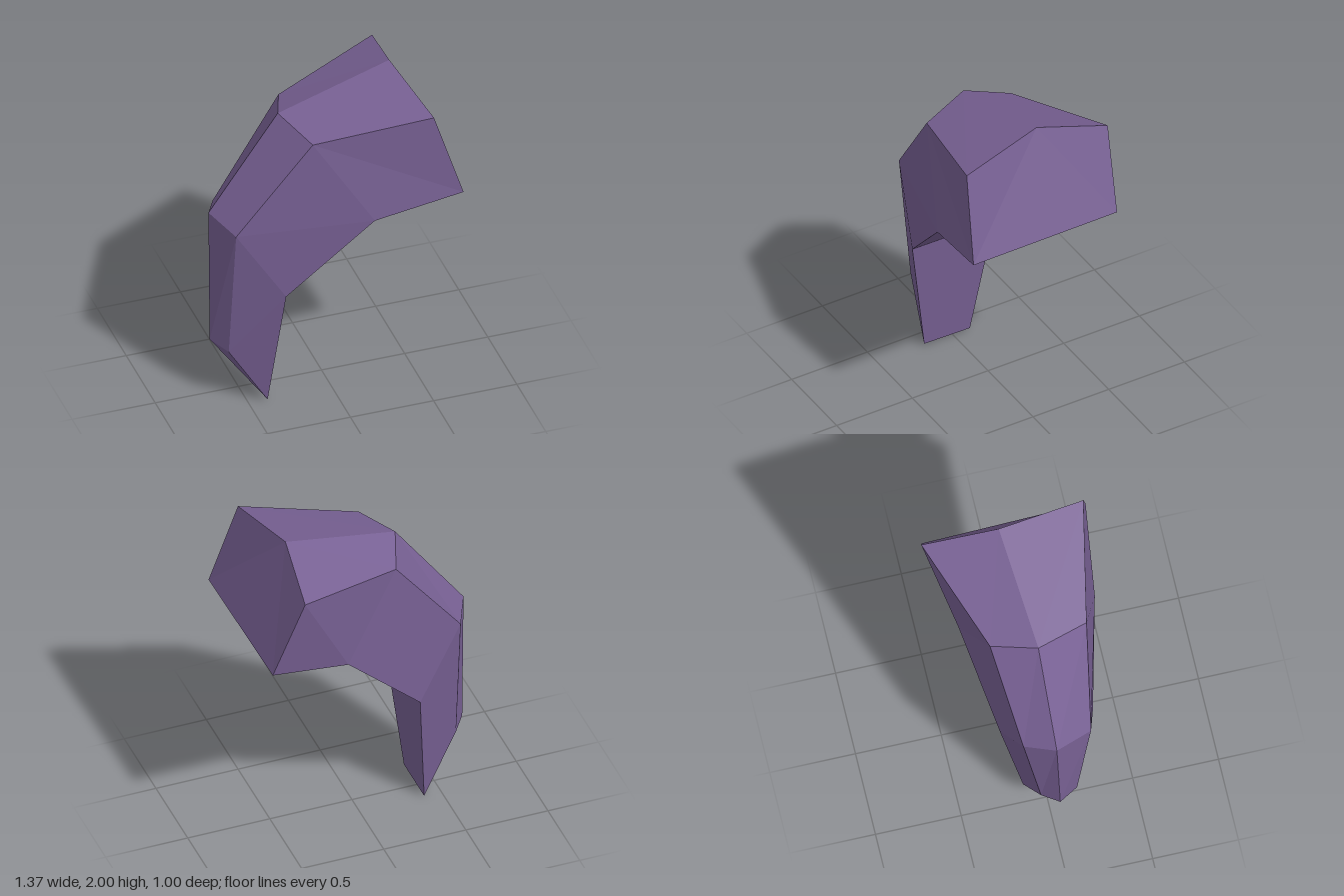
import * as THREE from 'three';

// Cross-sections from the narrow lower tip to the wide upper end.
// Each: ridge, front shoulder, inner front, inner back, back shoulder.
const SECTIONS = [
  [[-0.685, 0.39, 0.035], [-0.61, 0.36, 0.15], [-0.39, 0.01, 0.19], [-0.395, 0, -0.115], [-0.61, 0.36, -0.06]],
  [[-0.685, 1.25, 0.015], [-0.595, 1.205, 0.235], [-0.32, 0.78, 0.31], [-0.325, 0.77, -0.235], [-0.6, 1.2, -0.16]],
  [[-0.265, 1.835, 0.005], [-0.16, 1.79, 0.31], [0.17, 1.275, 0.435], [0.16, 1.26, -0.36], [-0.17, 1.775, -0.255]],
  [[0.43, 2, -0.065], [0.52, 1.915, 0.45], [0.68, 1.4, 0.5], [0.66, 1.39, -0.46], [0.48, 1.875, -0.505]],
];

// Skin the sections into a closed, faceted solid.
function loft(sections) {
  const points = [];
  const tri = (a, b, c) => points.push(...a, ...b, ...c);
  const n = sections[0].length;
  for (let s = 0; s < sections.length - 1; s++) {
    const low = sections[s], high = sections[s + 1];
    for (let i = 0; i < n; i++) {
      const j = (i + 1) % n;
      tri(low[i], low[j], high[j]);
      tri(low[i], high[j], high[i]);
    }
  }
  // End caps
  const first = sections[0], last = sections[sections.length - 1];
  for (let i = 1; i < n - 1; i++) {
    tri(first[0], first[i + 1], first[i]);
    tri(last[0], last[i], last[i + 1]);
  }
  const geometry = new THREE.BufferGeometry();
  geometry.setAttribute('position', new THREE.Float32BufferAttribute(points, 3));
  geometry.computeVertexNormals();
  return geometry;
}

export function createModel() {
  const purple = new THREE.MeshStandardMaterial({ color: 0x776093 });
  purple.name = 'dusty purple';
  purple.flatShading = true;

  const group = new THREE.Group();
  group.name = 'curvedHorn';
  const horn = new THREE.Mesh(loft(SECTIONS), purple);
  horn.name = 'hornBody';
  group.add(horn);
  return group;
}
